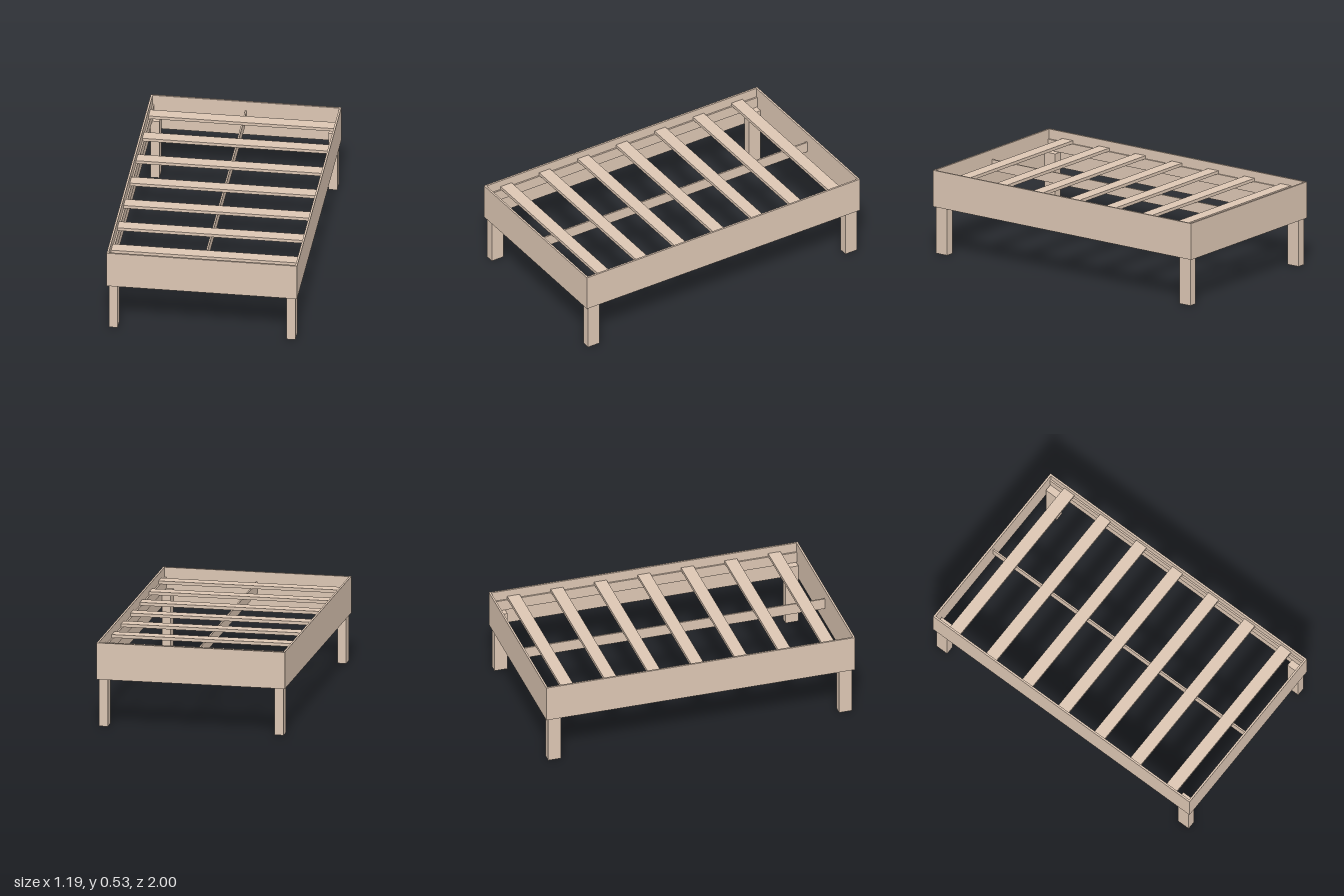
import * as THREE from 'three';

export function createModel() {
  const bed = new THREE.Group();
  bed.name = 'bedFrame';
  const wood = new THREE.MeshStandardMaterial({ color: 0xdcc6b3 });

  // Box given by its size and centre in x and z, and its bottom and top heights
  function board(name, w, d, bottom, top, x, z) {
    const mesh = new THREE.Mesh(new THREE.BoxGeometry(w, top - bottom, d), wood);
    mesh.name = name;
    mesh.position.set(x, (bottom + top) / 2, z);
    bed.add(mesh);
  }

  const halfW = 0.594, halfL = 1, t = 0.012;
  const innerW = halfW - t, innerL = halfL - t;
  const railBottom = 0.3, railTop = 0.533;
  const ledgeBottom = 0.4, ledgeTop = 0.47;
  const legW = 0.055, legD = 0.084;

  for (const s of [-1, 1]) {
    const side = s > 0 ? 'left' : 'right';
    const end = s > 0 ? 'front' : 'back';

    // Outer frame
    board(end + 'EndBoard', 2 * halfW, t, railBottom, railTop, 0, s * (halfL - t / 2));
    board(side + 'SideRail', t, 2 * innerL, railBottom, railTop, s * (halfW - t / 2), 0);

    // Ledge inside the rail that carries the slats
    board(side + 'SlatLedge', 0.01, 2 * innerL, ledgeBottom, ledgeTop, s * (innerW - 0.005), 0);

    // Legs tucked inside the corners, reaching up to the ledges
    for (const e of [-1, 1]) {
      board((e > 0 ? 'front' : 'back') + (s > 0 ? 'Left' : 'Right') + 'Leg', legW, legD,
        0, ledgeBottom, s * (innerW - legW / 2), e * (innerL - 0.004 - legD / 2));
    }
  }

  // Centre beam under the slats
  board('centreBeam', 0.01, 2 * innerL, ledgeBottom, ledgeTop, 0, 0);

  // Slats
  for (let i = 0; i < 7; i++) {
    board('slat' + (i + 1), 2 * innerW, 0.08, ledgeTop, 0.49, 0, (i - 3) * 0.2815);
  }
  return bed;
}
